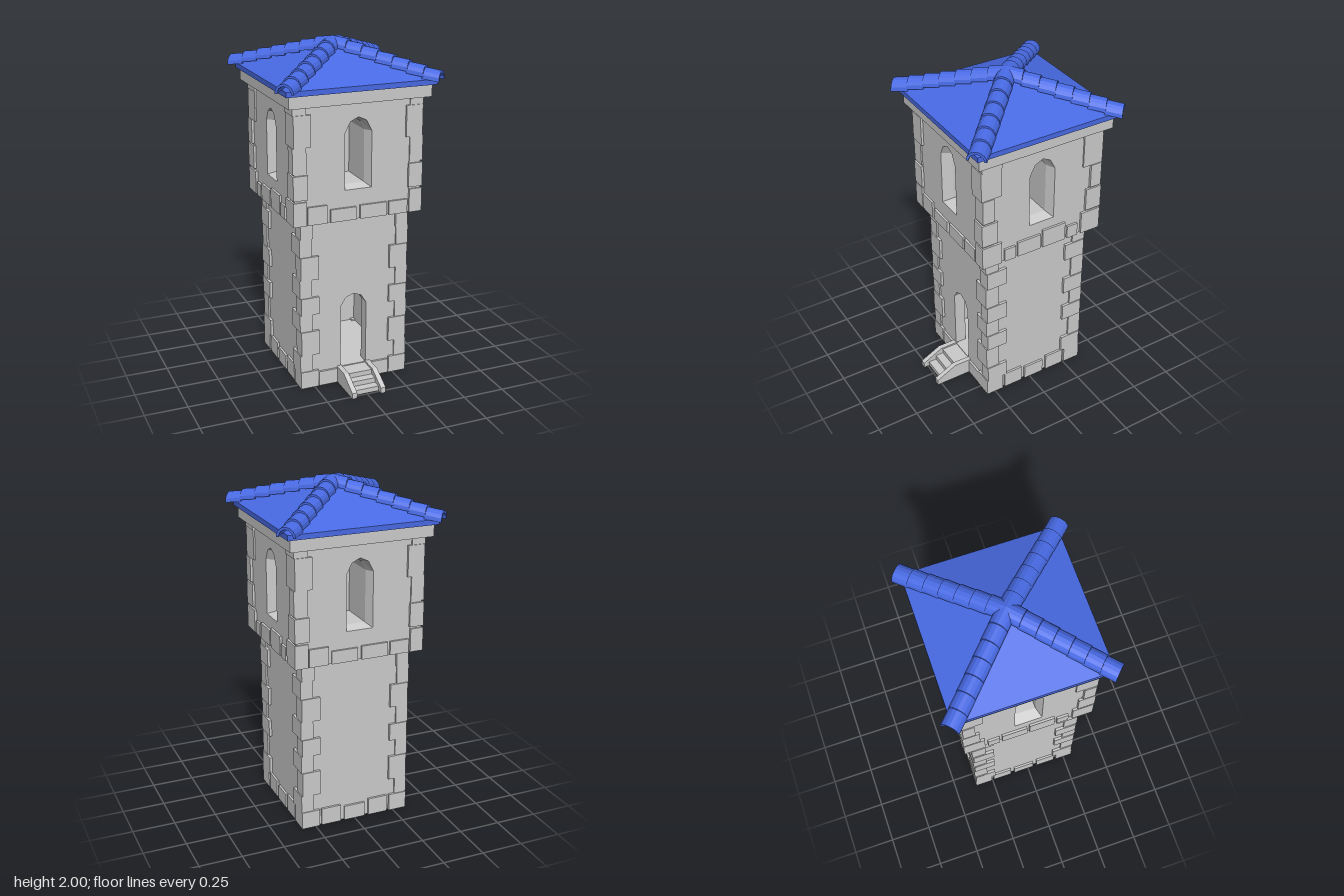
import * as THREE from 'three';

const stone = new THREE.MeshStandardMaterial({ color: 0xcccccc, flatShading: true });
const tileBlue = new THREE.MeshStandardMaterial({ color: 0x486ae4, flatShading: true });

function add(parent, name, geometry, material = stone) {
  const mesh = new THREE.Mesh(geometry, material);
  mesh.name = name;
  parent.add(mesh);
  return mesh;
}

// Box given by its lower and upper corners
function block(parent, name, [x0, y0, z0], [x1, y1, z1], material) {
  const mesh = add(parent, name, new THREE.BoxGeometry(x1 - x0, y1 - y0, z1 - z0), material);
  mesh.position.set((x0 + x1) / 2, (y0 + y1) / 2, (z0 + z1) / 2);
}

const points = list => list.map(([x, y]) => new THREE.Vector2(x, y));

// Pointed arch opening, counter-clockwise from the lower left
function archOutline(w, y0, spring, top) {
  const shoulder = spring + (top - spring) * 0.73;
  return points([[-w, y0], [w, y0], [w, spring], [w * 0.6, shoulder], [0, top], [-w * 0.6, shoulder], [-w, spring]]);
}

// Wall face with an optional arched hole
function wallFace(half, y0, y1, outline) {
  const shape = new THREE.Shape(points([[-half, y0], [half, y0], [half, y1], [-half, y1]]));
  if (outline) shape.holes.push(new THREE.Path(outline));
  return new THREE.ShapeGeometry(shape).translate(0, 0, half);
}

// Band of inward faces from one outline at z0 back to another at z1
function reveal(outer, inner, z0, z1) {
  const pos = [];
  outer.forEach((p, i) => {
    const j = (i + 1) % outer.length;
    const a = [p.x, p.y, z0], b = [outer[j].x, outer[j].y, z0];
    const c = [inner[j].x, inner[j].y, z1], d = [inner[i].x, inner[i].y, z1];
    pos.push(...a, ...b, ...c, ...a, ...c, ...d);
  });
  const geometry = new THREE.BufferGeometry();
  geometry.setAttribute('position', new THREE.Float32BufferAttribute(pos, 3));
  geometry.computeVertexNormals();
  return geometry;
}

// One storey: four walls, a row of foot stones and the corner stones
function storey(parent, name, s) {
  const group = new THREE.Group();
  group.name = name;
  parent.add(group);
  for (let k = 0; k < 4; k++) {
    const side = new THREE.Group();
    side.name = name + 'Side';
    side.rotation.y = k * Math.PI / 2;
    group.add(side);
    add(side, 'wall', wallFace(s.half, s.y0, s.y1, s.opening(k)));
    s.inside(side, k);
    for (const [x0, x1, h] of s.row(k)) {
      block(side, 'footStone', [x0, s.y0, s.half - 0.03], [x1, s.y0 + h, s.half + 0.013]);
    }
  }
  // Corner stones: bottom, top, length along x and z, overhang along x and z
  for (const sx of [-1, 1]) for (const sz of [-1, 1]) {
    for (const [y0, y1, lx, lz, ox, oz] of s.quoins) {
      add(group, 'cornerStone', new THREE.BoxGeometry(lx, y1 - y0, lz))
        .position.set(sx * (s.half + ox - lx / 2), (y0 + y1) / 2, sz * (s.half + oz - lz / 2));
    }
  }
}

// Curved ridge tile running along +z, falling by the given gradient, with upright ends
function ridgeTile(length, fall) {
  const n = 8;
  const arc = (rx, ry) => Array.from({ length: n + 1 }, (_, i) => {
    const a = i / n * Math.PI;
    return [rx * Math.cos(a), ry * Math.sin(a) - 0.008];
  });
  const shape = new THREE.Shape(points([...arc(0.055, 0.056), ...arc(0.041, 0.042).reverse()]));
  const geometry = new THREE.ExtrudeGeometry(shape, { depth: length, bevelEnabled: false });
  const p = geometry.attributes.position;
  for (let i = 0; i < p.count; i++) p.setY(i, p.getY(i) - p.getZ(i) * fall);
  geometry.computeVertexNormals();
  return geometry;
}

export function createModel() {
  const model = new THREE.Group();
  model.name = 'tower';
  const body = new THREE.Group();
  body.name = 'towerBody';
  body.position.z = -0.03;
  model.add(body);

  // Lower storey: a doorway into a hollow room
  const door = archOutline(0.08, 0.095, 0.48, 0.55);
  const sideRow = [[-0.21, -0.09, 0.105], [-0.065, 0.065, 0.09], [0.09, 0.21, 0.105]];
  const frontRow = [[-0.22, -0.09, 0.09], [0.1, 0.22, 0.09]];
  const levels = [0.105, 0.21, 0.36, 0.465, 0.57, 0.68, 0.82, 0.93, 1.03];
  const alternating = levels.slice(0, -1).map((y, i) => i % 2
    ? [y, levels[i + 1], i < 7 ? 0.11 : 0.075, 0.085, 0.010, 0.016]
    : [y, levels[i + 1], 0.075, 0.13, 0.016, 0.010]);
  storey(body, 'lowerStorey', {
    half: 0.32, y0: 0, y1: 1.03,
    opening: k => k === 0 ? door : null,
    inside: (side, k) => {
      if (k === 0) add(side, 'doorReveal', reveal(door, door, 0.32, 0.25));
      else add(side, 'innerWall', new THREE.PlaneGeometry(0.5, 0.935).rotateY(Math.PI)).position.set(0, 0.5625, 0.25);
    },
    row: k => k === 0 ? frontRow : sideRow,
    quoins: [[0, 0.105, 0.11, 0.11, 0.015, 0.015], ...alternating],
  });
  block(body, 'floor', [-0.318, 0, -0.318], [0.318, 0.095, 0.318]);

  // Upper storey: a splayed, deep window niche on every side
  const outer = archOutline(0.08, 1.205, 1.53, 1.615);
  const inner = archOutline(0.06, 1.222, 1.525, 1.595);
  const upperFront = [[-0.305, -0.19, 0.105], [-0.17, -0.015, 0.075], [0.01, 0.17, 0.08], [0.185, 0.30, 0.08]];
  const upperSide = [[-0.245, -0.175, 0.08], [-0.16, -0.01, 0.095], [0.005, 0.155, 0.115], [0.17, 0.24, 0.08]];
  storey(body, 'upperStorey', {
    half: 0.375, y0: 1.03, y1: 1.7,
    opening: () => outer,
    inside: side => {
      add(side, 'windowSplay', reveal(outer, inner, 0.375, 0.315));
      add(side, 'windowNiche', reveal(inner, inner, 0.315, 0.1));
      add(side, 'windowBack', new THREE.ShapeGeometry(new THREE.Shape(inner))).position.z = 0.1;
    },
    row: k => k % 2 ? upperSide : upperFront,
    quoins: [
      [1.03, 1.168, 0.078, 0.125, 0.014, 0.014], [1.168, 1.18, 0.07, 0.07, 0.004, 0.004],
      [1.18, 1.32, 0.085, 0.10, 0.014, 0.015], [1.32, 1.33, 0.07, 0.07, 0.004, 0.004],
      [1.33, 1.475, 0.08, 0.07, 0.015, 0.009], [1.475, 1.655, 0.10, 0.125, 0.009, 0.014],
      [1.655, 1.7, 0.08, 0.125, 0.013, 0.009],
    ],
  });
  block(body, 'upperFloor', [-0.375, 1.03, -0.375], [0.375, 1.045, 0.375]);

  // Cornice and roof
  block(body, 'cornice', [-0.42, 1.7, -0.42], [0.42, 1.77, 0.42]);
  block(body, 'roofEave', [-0.44, 1.77, -0.44], [0.44, 1.8, 0.44], tileBlue);
  add(body, 'roof', new THREE.ConeGeometry(0.44 * Math.SQRT2, 0.15, 4).rotateY(Math.PI / 4), tileBlue)
    .position.y = 1.875;

  // Stepped, overlapping tiles down the four hips
  const slope = 0.15 / (0.44 * Math.SQRT2);
  const step = 0.0915;
  const tile = ridgeTile(step + 0.006, slope - 0.11);
  for (let k = 0; k < 4; k++) {
    const hip = new THREE.Group();
    hip.name = 'hipTiles';
    hip.position.y = 1.952;
    hip.rotation.y = Math.PI / 4 + k * Math.PI / 2;
    body.add(hip);
    for (let i = 0; i < 7; i++) {
      add(hip, 'hipTile', tile, tileBlue).position.set(0, -i * step * slope * 1.04, i * step);
    }
  }

  // Entrance stairs between two sloping cheeks
  const stairs = new THREE.Group();
  stairs.name = 'stairs';
  model.add(stairs);
  const profile = new THREE.Shape(points([[0.28, 0], [0.525, 0], [0.525, 0.035], [0.40, 0.1], [0.28, 0.1]]));
  const cheek = new THREE.ExtrudeGeometry(profile, { depth: 0.03, bevelEnabled: false }).rotateY(-Math.PI / 2);
  add(stairs, 'leftCheek', cheek).position.x = 0.105;
  add(stairs, 'rightCheek', cheek).position.x = -0.075;
  [0.49, 0.44, 0.39].forEach((z, i) =>
    block(stairs, 'step', [-0.08, 0, 0.28], [0.08, 0.03 * (i + 1), z]));

  return model;
}
